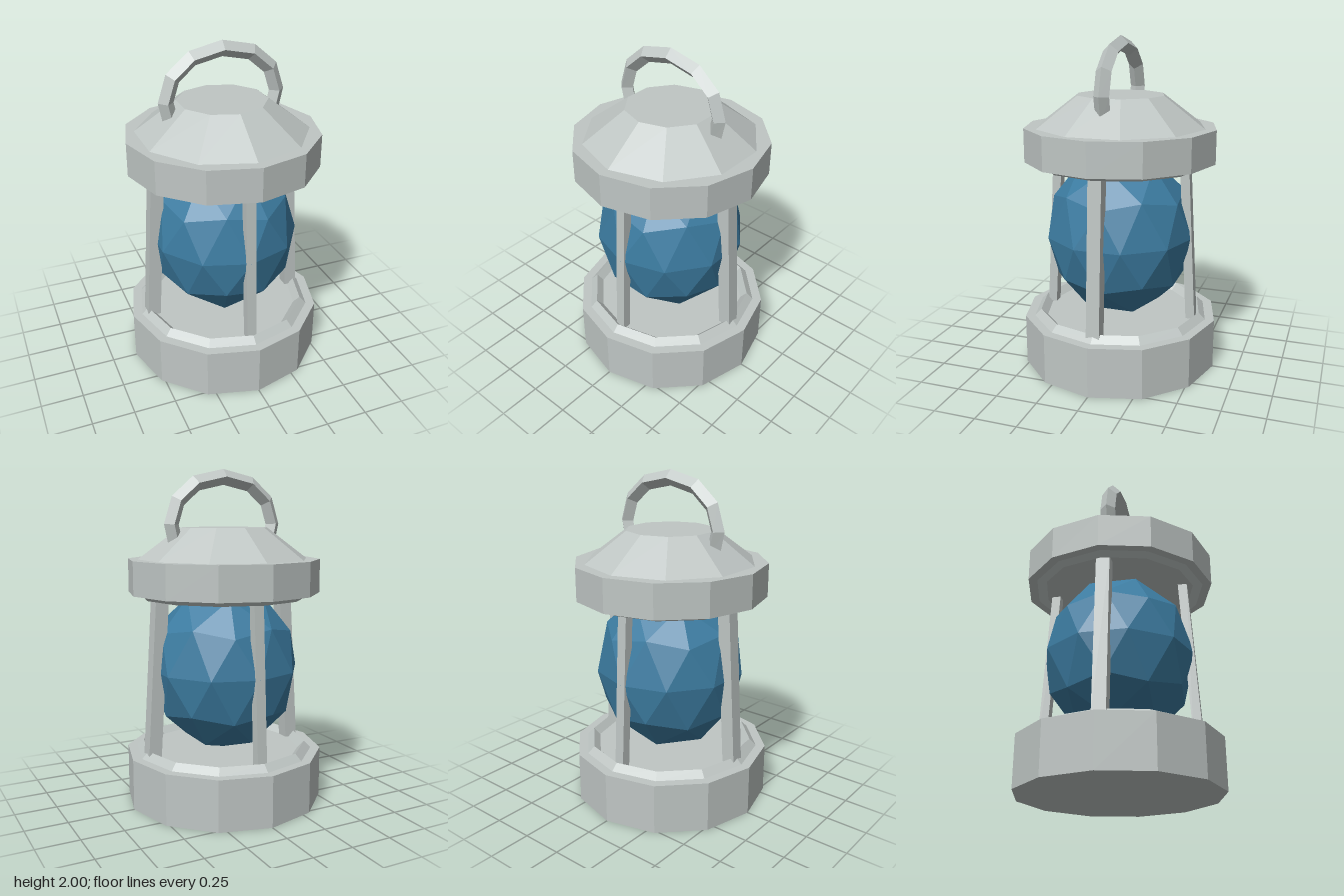
import * as THREE from 'three';

export function createModel() {
  const model = new THREE.Group();
  model.name = 'lantern';
  const metal = new THREE.MeshStandardMaterial({ color: 0xbfc6c4, flatShading: true });
  metal.name = 'pale grey metal';
  const glass = new THREE.MeshStandardMaterial({ color: 0x3c7ca1, flatShading: true });
  glass.name = 'blue glass';

  function add(name, geometry, material, y = 0) {
    const mesh = new THREE.Mesh(geometry, material);
    mesh.name = name;
    mesh.position.y = y;
    model.add(mesh);
    return mesh;
  }

  // Base drum, and the band under the roof
  add('base', new THREE.CylinderGeometry(0.6, 0.6, 0.305, 12), metal, 0.1525);
  add('capBand', new THREE.CylinderGeometry(0.577, 0.577, 0.2, 12), metal, 1.375);

  // Ten-sided sloping roof
  add('roof', new THREE.CylinderGeometry(0.265, 0.512, 0.185, 10), metal, 1.5675);

  // Diamond-section rings on the base and under the cap
  const ring = (radius) => new THREE.TorusGeometry(radius, 0.043, 4, 12).rotateX(Math.PI / 2);
  add('baseRing', ring(0.503), metal, 0.302);
  add('capRing', ring(0.493), metal, 1.288);

  // Globe: icosphere standing on one of its vertices, stretched upward
  const globe = new THREE.IcosahedronGeometry(0.455, 1);
  globe.rotateZ(-Math.atan(1 / ((1 + Math.sqrt(5)) / 2)));
  globe.scale(1, 1.13, 1);
  add('globe', globe, glass, 0.817);

  // Four posts leaning inward, the side pair slightly thicker
  function post(name, width, depth, bottom, top, angle) {
    const low = 0.31, high = 1.29;
    const geometry = new THREE.BoxGeometry(width, high - low, depth);
    geometry.translate(0, (high + low) / 2, 0);
    const p = geometry.attributes.position;
    for (let i = 0; i < p.count; i++) {
      const t = (p.getY(i) - low) / (high - low);
      p.setZ(i, p.getZ(i) + bottom + (top - bottom) * t);
    }
    geometry.computeVertexNormals();
    add(name, geometry, metal).rotation.y = angle;
  }
  post('frontPost', 0.06, 0.055, 0.456, 0.4, 0);
  post('backPost', 0.06, 0.055, 0.456, 0.4, Math.PI);
  post('leftPost', 0.08, 0.08, 0.474, 0.413, Math.PI / 2);
  post('rightPost', 0.08, 0.08, 0.474, 0.413, -Math.PI / 2);

  // Arched carrying handle with a diamond section, its ends sunk in the roof
  const half = [[0.305, 1.54], [0.337, 1.68], [0.294, 1.815], [0.178, 1.915]];
  const points = [
    ...half.map(([x, y]) => new THREE.Vector3(-x, y, 0)),
    new THREE.Vector3(0, 1.954, 0),
    ...half.reverse().map(([x, y]) => new THREE.Vector3(x, y, 0)),
  ];
  const arch = new THREE.CatmullRomCurve3(points, false, 'catmullrom', 0.5);
  // Place one cross-section exactly at each point
  arch.getPointAt = (u, target) => arch.getPoint(u, target);
  arch.getTangentAt = (u, target) => arch.getTangent(u, target);
  add('handle', new THREE.TubeGeometry(arch, points.length - 1, 0.046, 4), metal);

  return model;
}
